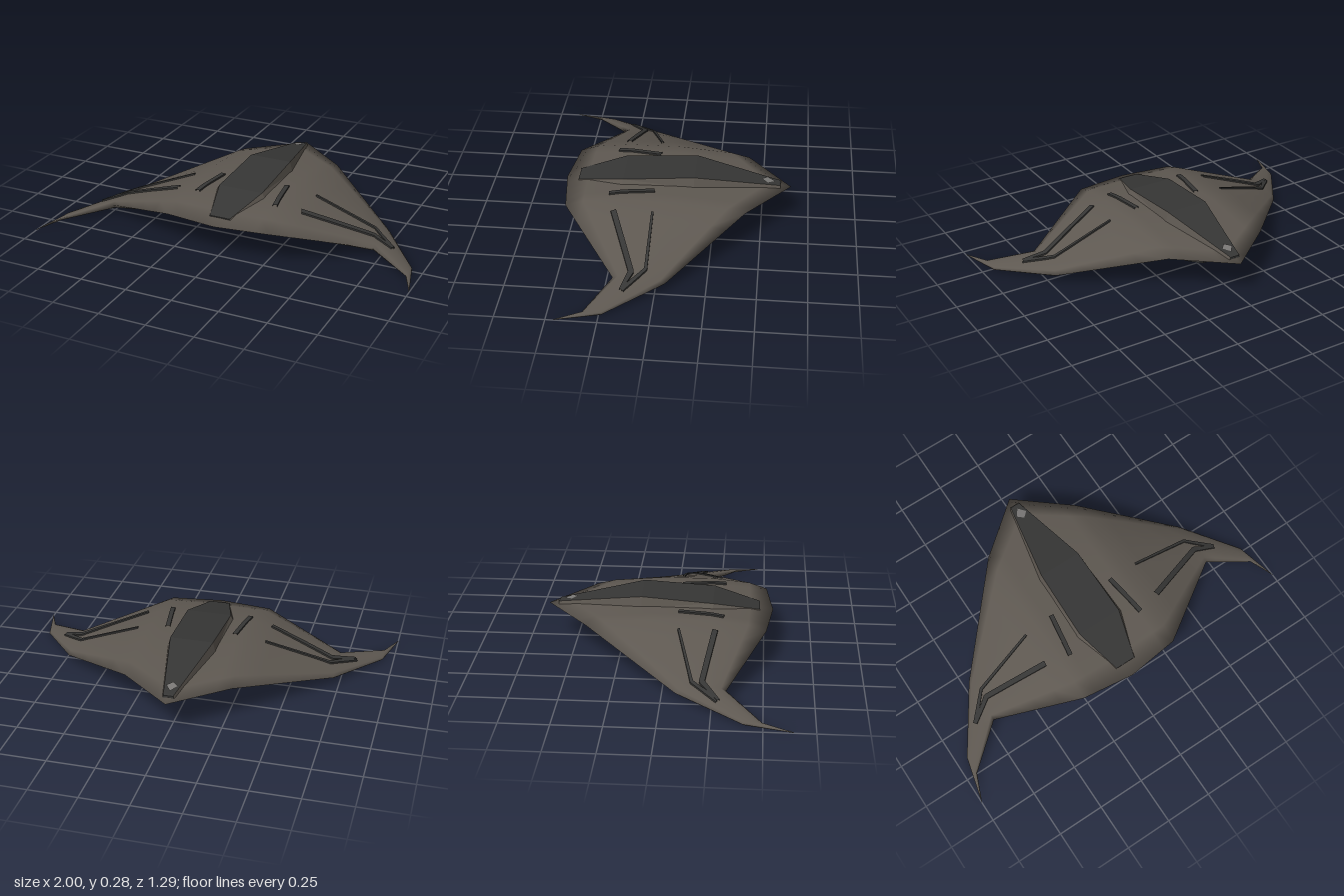
import * as THREE from 'three';

const hullMat = new THREE.MeshStandardMaterial({ color: 0x5e5851 });
const darkMat = new THREE.MeshStandardMaterial({ color: 0x363635 });
const gemMat = new THREE.MeshStandardMaterial({ color: 0x7a7876 });
hullMat.name = 'brownHull';
darkMat.name = 'darkPlating';
gemMat.name = 'greyLight';

// Wing cross-section: chord fractions from trailing edge, over the top, to the nose and back underneath
const FRAC = [0, 0.1, 0.4, 0.7, 0.9, 1, 0.9, 0.5, 0.1];
// half of the stations: x, right-wing rear/front z, left-wing rear/front z, heights
const STATIONS = [
  [0, -0.65, 0.545, -0.65, 0.545, [0.195, 0.213, 0.243, 0.245, 0.222, 0.19, 0.16, 0.15, 0.165]],
  [0.28, -0.42, 0.51, -0.42, 0.51, [0.195, 0.218, 0.242, 0.242, 0.222, 0.19, 0.16, 0.15, 0.16]],
  [0.72, 0.07, 0.32, -0.05, 0.21, [0.05, 0.066, 0.083, 0.087, 0.083, 0.07, 0.045, 0.034, 0.036]],
  [0.94, 0.4, 0.5, 0.23, 0.33, [0.014, 0.022, 0.026, 0.027, 0.025, 0.02, 0.012, 0.007, 0.008]],
  [1, 0.64, 0.645, 0.455, 0.46, [0.01, 0.011, 0.012, 0.012, 0.012, 0.011, 0.01, 0.009, 0.009]],
];

// Cross-section at any x as [z, y] points
function section(x) {
  const ax = Math.min(Math.abs(x), 1);
  let k = 0;
  while (k < STATIONS.length - 2 && ax > STATIONS[k + 1][0]) k++;
  const a = STATIONS[k], b = STATIONS[k + 1];
  const t = (ax - a[0]) / (b[0] - a[0]);
  const s = x < 0 ? 1 : 3;
  const mix = THREE.MathUtils.lerp;
  const rear = mix(a[s], b[s], t), front = mix(a[s + 1], b[s + 1], t);
  return FRAC.map((f, j) => [mix(rear, front, f), mix(a[5][j], b[5][j], t)]);
}

// Height of the upper skin
function topAt(x, z) {
  const p = section(x);
  for (let j = 0; j < 5; j++) {
    if (z <= p[j + 1][0] || j === 4) {
      const t = THREE.MathUtils.clamp((z - p[j][0]) / (p[j + 1][0] - p[j][0]), 0, 1);
      return THREE.MathUtils.lerp(p[j][1], p[j + 1][1], t);
    }
  }
}

// Skin over equal-length rows of points; closed joins the last column to the first
function loft(rows, closed, flat) {
  const n = rows[0].length, index = [];
  for (let i = 0; i < rows.length - 1; i++) {
    for (let j = 0; j < (closed ? n : n - 1); j++) {
      const a = i * n + j, b = i * n + ((j + 1) % n);
      index.push(a, b, b + n, a, b + n, a + n);
    }
  }
  let g = new THREE.BufferGeometry();
  g.setAttribute('position', new THREE.Float32BufferAttribute(rows.flat(2), 3));
  g.setIndex(index);
  if (flat) g = g.toNonIndexed();
  g.computeVertexNormals();
  return g;
}

export function createModel() {
  const model = new THREE.Group();
  const add = (name, geometry, material) => {
    const m = new THREE.Mesh(geometry, material);
    m.name = name;
    model.add(m);
    return m;
  };

  // Swept wing body with uneven tips
  const xs = [];
  for (let k = 0; k < STATIONS.length - 1; k++) {
    for (let i = 0; i < 4; i++) {
      xs.push(THREE.MathUtils.lerp(STATIONS[k][0], STATIONS[k + 1][0], i / 4));
    }
  }
  xs.push(1);
  const allX = [...xs.slice(1).reverse().map((x) => -x), ...xs];
  add('wingBody', loft(allX.map((x) => section(x).map(([z, y]) => [x, y, z])), true, false), hullMat);

  // Spine: z, top half-width, top y, base half-width, base y
  const spine = [
    [-0.595, 0.026, 0.213, 0.03, 0.195],
    [-0.585, 0.028, 0.217, 0.033, 0.2],
    [-0.145, 0.115, 0.292, 0.128, 0.235],
    [0.23, 0.122, 0.267, 0.138, 0.235],
    [0.475, 0.055, 0.213, 0.063, 0.2],
  ];
  for (const s of [1, -1]) {
    const rows = spine.map(([z, w, y, bw, by]) => [[s * w, y, z], [s * bw, by, z]]);
    if (s > 0) rows.forEach((r) => r.reverse());
    add(s > 0 ? 'spineSideLeft' : 'spineSideRight',
      loft(s > 0 ? rows.map((r) => [r[1], r[0]]).reverse() : rows.map((r) => [r[1], r[0]]).reverse().map((r) => [r[1], r[0]]).reverse().map((r) => [r[1], r[0]]), false, true),
      hullSide);
  }
  add('spineTop', loft(spine.map(([z, w, y]) => [[w, y, z], [-w, y, z]]), false, true), darkSide);
  for (const k of [0, spine.length - 1]) {
    const [z, w, y, bw, by] = spine[k];
    add(k ? 'spineFront' : 'spineRear',
      loft([[[-w, y, z], [w, y, z]], [[-bw, by, z], [bw, by, z]]], false, true), darkSide);
  }

  // Small kite-shaped light at the tail
  const kite = [[0, -0.565], [0.03, -0.525], [0, -0.495], [-0.03, -0.525]];
  const kiteY = (z) => 0.217 + (z + 0.585) * 0.17 + 0.005;
  add('tailLight', loft([
    [kite[0], kite[1]].map(([x, z]) => [x, kiteY(z), z]),
    [kite[3], kite[2]].map(([x, z]) => [x, kiteY(z), z]),
  ], false, true), gemSide);

  // Raised ribs following the upper skin; points are x, z, half-width
  const rib = (name, pts) => {
    const rows = [];
    for (let k = 0; k < pts.length - 1; k++) {
      const [x0, z0, w0] = pts[k], [x1, z1, w1] = pts[k + 1];
      const len = Math.hypot(x1 - x0, z1 - z0);
      const nx = -(z1 - z0) / len, nz = (x1 - x0) / len;
      for (let i = 0; i <= 8; i++) {
        const t = i / 8, w = w0 + (w1 - w0) * t;
        const x = x0 + (x1 - x0) * t, z = z0 + (z1 - z0) * t;
        rows.push([[-1, -0.005], [-1, 0.009], [1, 0.009], [1, -0.005]].map(([s, h]) => {
          const px = x + nx * w * s, pz = z + nz * w * s;
          return [px, topAt(px, pz) + h, pz];
        }));
      }
    }
    add(name, loft(rows, false, true), darkSide);
  };
  rib('rightRearRib', [[-0.35, 0.065, 0.006], [-0.69, 0.15, 0.008], [-0.81, 0.28, 0.011]]);
  rib('rightFrontRib', [[-0.35, 0.25, 0.014], [-0.69, 0.2, 0.014], [-0.81, 0.285, 0.007]]);
  rib('leftRearRib', [[0.35, 0.05, 0.006], [0.68, 0.05, 0.008], [0.81, 0.155, 0.011]]);
  rib('leftFrontRib', [[0.35, 0.25, 0.014], [0.7, 0.12, 0.014], [0.81, 0.16, 0.007]]);
  for (const s of [1, -1]) {
    rib(s > 0 ? 'leftInnerRib' : 'rightInnerRib', [[s * 0.185, 0.055, 0.012], [s * 0.22, 0.29, 0.012]]);
  }

  // Two-tier eight-sided turret under the tail
  const profile = [[0, 0.077], [0.105, 0.077], [0.125, 0.086], [0.125, 0.105], [0.115, 0.114],
    [0.148, 0.114], [0.168, 0.125], [0.168, 0.147], [0.15, 0.165]];
  const disc = new THREE.LatheGeometry(profile.map(([r, y]) => new THREE.Vector2(r, y)), 8, Math.PI / 8).toNonIndexed();
  disc.computeVertexNormals();
  add('bellyTurret', disc, darkMat).position.z = -0.27;

  return model;
}

// Thin open panels show from both sides
const hullSide = hullMat, darkSide = darkMat, gemSide = gemMat;
for (const m of [hullMat, darkMat, gemMat]) m.side = THREE.DoubleSide;
